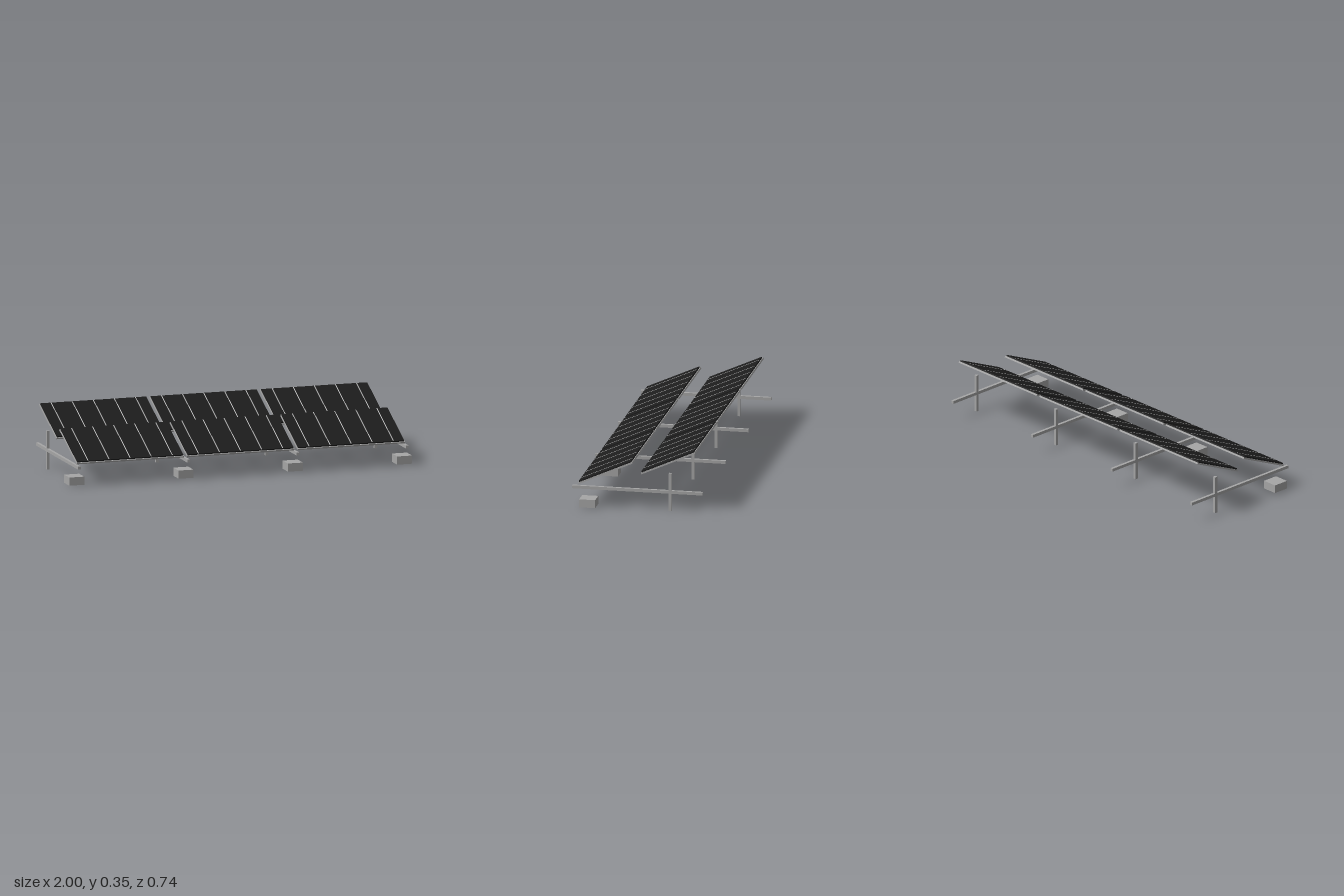
import * as THREE from 'three';

export function createModel() {
  const model = new THREE.Group();
  model.name = 'solarArray';

  const mat = (name, color) => {
    const m = new THREE.MeshStandardMaterial({ color });
    m.name = name;
    return m;
  };
  const grey = mat('grey metal and concrete', 0xa6a6a6);
  const black = mat('black cells', 0x1c1c1c);
  const light = mat('light cell dividers', 0xc0c0c0);

  const box = (parent, name, material, [w, h, d], [x, y, z]) => {
    const mesh = new THREE.Mesh(new THREE.BoxGeometry(w, h, d), material);
    mesh.name = name;
    mesh.position.set(x, y, z);
    parent.add(mesh);
  };

  // Four supports: foot block, long floor rail and upright post
  for (const x of [-0.956, -0.319, 0.319, 0.956]) {
    const support = new THREE.Group();
    support.name = 'support';
    support.position.x = x;
    box(support, 'footBlock', grey, [0.088, 0.046, 0.091], [0, 0.026, 0.278]);
    box(support, 'rail', grey, [0.016, 0.017, 0.737], [0, 0.1085, 0.0015]);
    box(support, 'post', grey, [0.017, 0.216, 0.016], [0, 0.108, -0.183]);
    model.add(support);
  }

  // One tilted panel: grey backing tray, black cell sheet, five divider lines
  const tilt = THREE.MathUtils.degToRad(24.1);
  const addPanel = (x, y, z) => {
    const panel = new THREE.Group();
    panel.name = 'panel';
    panel.position.set(x, y, z);
    panel.rotation.x = tilt;
    box(panel, 'backTray', grey, [0.625, 0.009, 0.333], [0, 0, 0]);
    box(panel, 'cellSheet', black, [0.618, 0.007, 0.322], [0, 0.008, 0]);
    for (let i = -2; i <= 2; i++) {
      box(panel, 'cellDivider', light, [0.005, 0.001, 0.318], [i * 0.123, 0.0119, 0]);
    }
    model.add(panel);
  };

  // Two rows of three panels
  for (const x of [-0.648, -0.004, 0.641]) {
    addPanel(x, 0.195, 0.184);
    addPanel(x, 0.271, -0.169);
  }
  return model;
}
